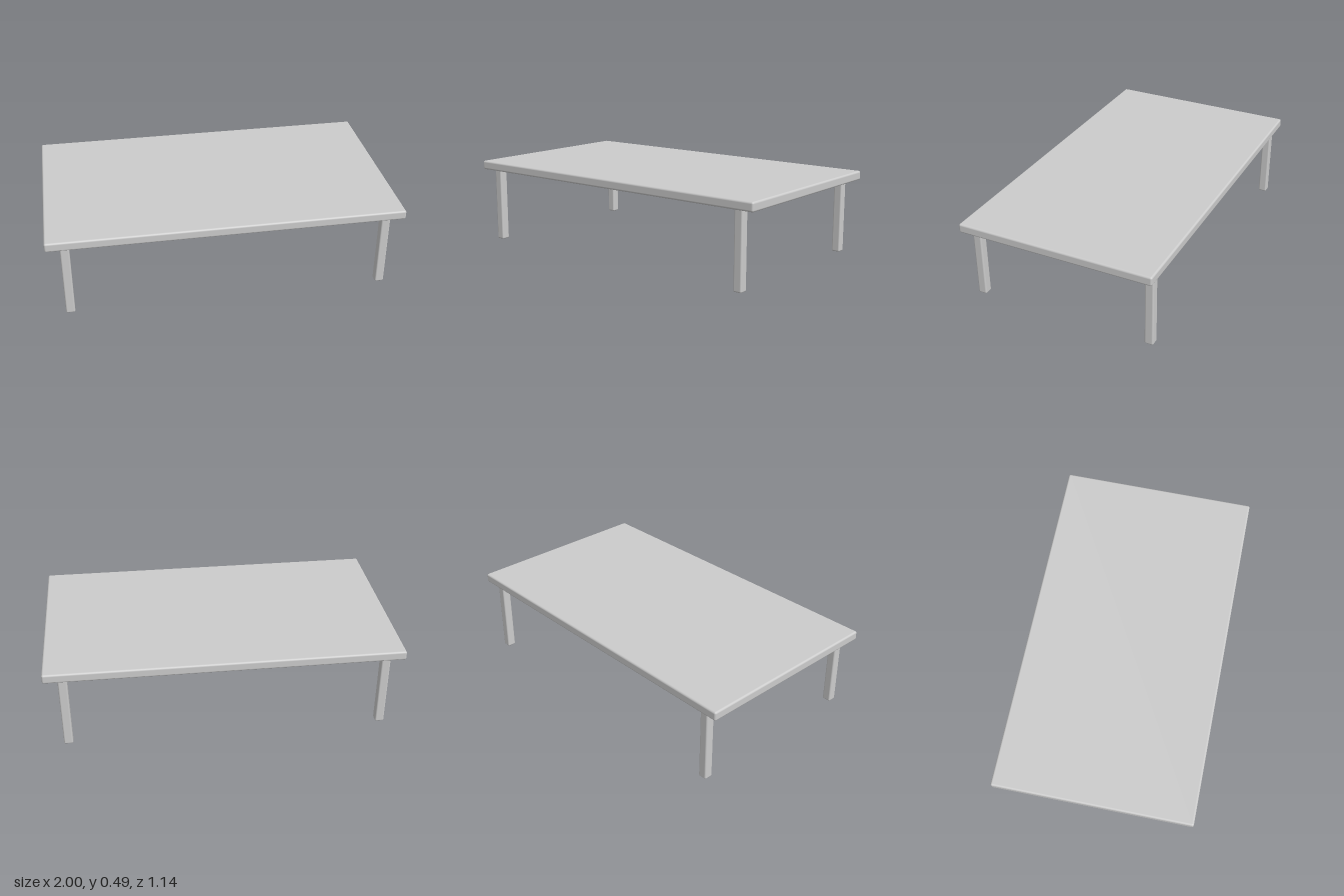
import * as THREE from 'three';
import { RoundedBoxGeometry } from 'three/addons/geometries/RoundedBoxGeometry.js';

const material = new THREE.MeshStandardMaterial({ color: 0xcccccc });

// Soft-edged block standing on height y
function block(name, width, height, depth, radius, x, y, z) {
  const mesh = new THREE.Mesh(new RoundedBoxGeometry(width, height, depth, 4, radius), material);
  mesh.name = name;
  mesh.position.set(x, y + height / 2, z);
  return mesh;
}

export function createModel() {
  const table = new THREE.Group();
  table.name = 'lowTable';

  // Wide slab top
  table.add(block('tableTop', 2, 0.053, 1.138, 0.011, 0, 0.435, 0));

  // Four square legs, set in from the corners and let into the top
  for (const [side, sx] of [['Left', 1], ['Right', -1]]) {
    for (const [end, sz] of [['front', 1], ['back', -1]]) {
      table.add(block(`${end}${side}Leg`, 0.051, 0.455, 0.051, 0.009, sx * 0.895, 0, sz * 0.517));
    }
  }
  return table;
}
